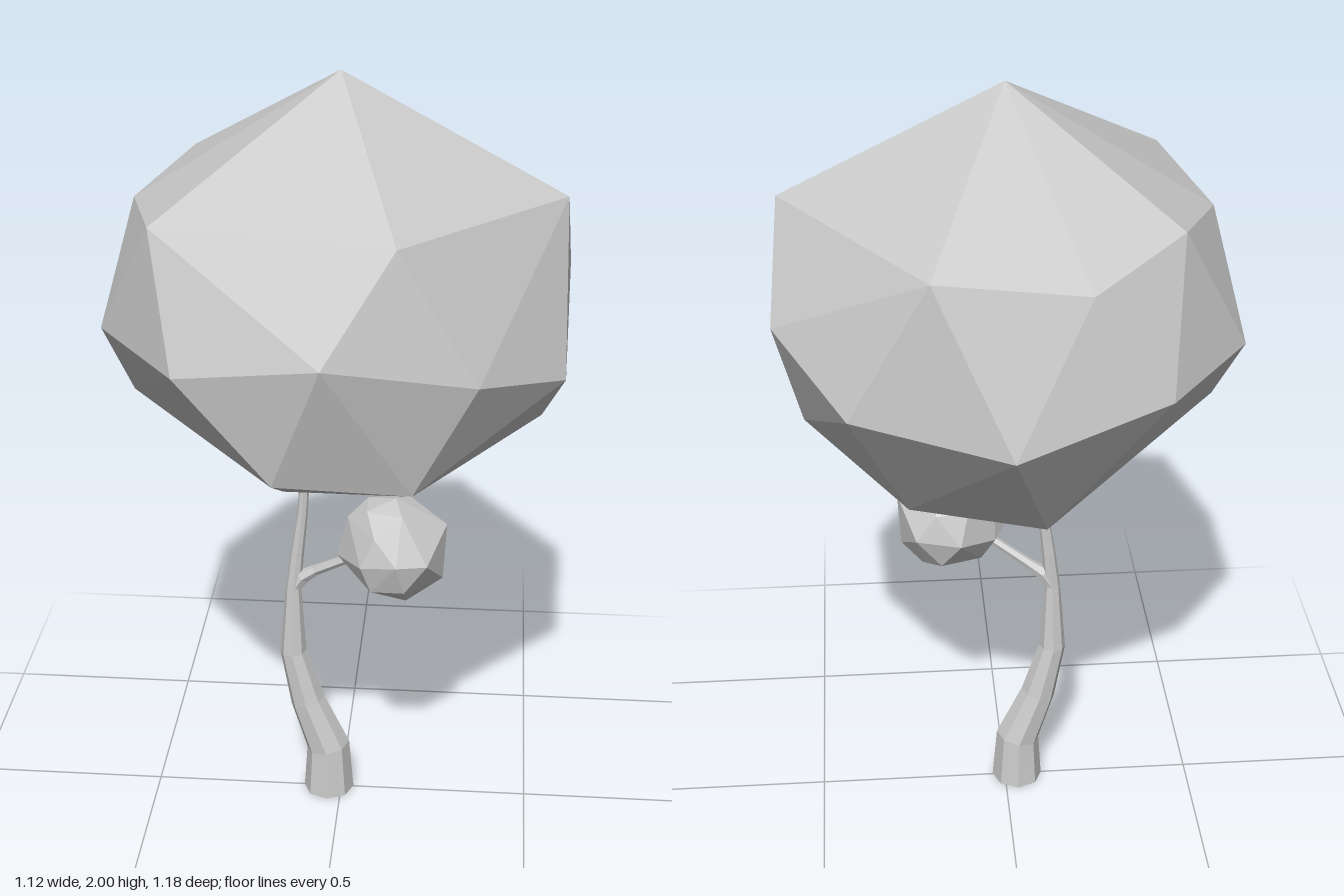
import * as THREE from 'three';
import { ConvexGeometry } from 'three/addons/geometries/ConvexGeometry.js';

const material = new THREE.MeshStandardMaterial({ color: 0xcccccc, flatShading: true });

// Corners of the faceted crown, from the tip down
const crownCorners = [
  [0, 2, 0],
  // shoulder
  [0.54, 1.72, 0.04], [0.2, 1.72, -0.5], [-0.39, 1.73, -0.28], [-0.41, 1.72, 0.34],
  [0.16, 1.735, 0.49], [-0.5, 1.68, 0], [-0.16, 1.67, -0.48],
  // widest ring
  [0.02, 1.32, -0.59], [0.39, 1.36, -0.44], [0.56, 1.48, -0.185], [0.547, 1.33, 0.22],
  [0.347, 1.41, 0.475], [0, 1.485, 0.587], [-0.347, 1.41, 0.475], [-0.56, 1.41, 0.18],
  [-0.56, 1.4, -0.185], [-0.347, 1.4, -0.475],
  // underside
  [-0.12, 1.16, 0.5], [0.2, 1.12, 0.44], [0.5, 1.14, 0], [-0.52, 1.175, 0],
  [0.25, 0.975, -0.18], [-0.08, 0.975, -0.3], [-0.15, 0.89, -0.02],
].map((p) => new THREE.Vector3(...p));

// Tapered limb through rings of [x, y, z, radius]
function limb(name, rings, sides) {
  const last = rings.length - 1;
  const centres = rings.map((r) => new THREE.Vector3(r[0], r[1], r[2]));
  const frames = centres.map((c, i) => {
    const along = centres[Math.min(i + 1, last)].clone().sub(centres[Math.max(i - 1, 0)]).normalize();
    const side = along.clone().cross(new THREE.Vector3(0, 0, 1)).normalize();
    return { side, front: side.clone().cross(along) };
  });
  const geometry = new THREE.CylinderGeometry(1, 1, 1, sides, last);
  const pos = geometry.attributes.position;
  for (let i = 0; i < pos.count; i++) {
    const k = Math.round((pos.getY(i) + 0.5) * last);
    const r = rings[k][3];
    const v = centres[k].clone()
      .addScaledVector(frames[k].side, pos.getX(i) * r)
      .addScaledVector(frames[k].front, pos.getZ(i) * r);
    pos.setXYZ(i, v.x, v.y, v.z);
  }
  geometry.computeVertexNormals();
  const mesh = new THREE.Mesh(geometry, material);
  mesh.name = name;
  return mesh;
}

export function createModel() {
  const tree = new THREE.Group();
  tree.name = 'tree';

  // Curved trunk, thinning towards the crown
  tree.add(limb('trunk', [
    [-0.033, 0.005, 0, 0.067], [-0.035, 0.14, 0, 0.058], [-0.09, 0.28, 0, 0.046],
    [-0.127, 0.43, 0, 0.035], [-0.125, 0.62, 0.002, 0.021], [-0.115, 0.72, 0, 0.018],
    [-0.1, 0.84, 0, 0.014], [-0.09, 0.98, 0, 0.012],
  ], 8));

  // Side branch holding the small crown
  tree.add(limb('branch', [
    [-0.13, 0.61, 0, 0.019], [-0.1, 0.658, 0.004, 0.02],
    [-0.065, 0.682, 0.012, 0.014], [0.06, 0.76, 0.055, 0.011],
  ], 6));

  const crown = new THREE.Mesh(new ConvexGeometry(crownCorners), material);
  crown.name = 'crown';
  tree.add(crown);

  // Small crown: the same shape about its own centre, tilted along the branch
  const smallGeometry = new ConvexGeometry(crownCorners);
  smallGeometry.translate(0, -1.43, 0);
  const smallCrown = new THREE.Mesh(smallGeometry, material);
  smallCrown.name = 'smallCrown';
  smallCrown.scale.set(0.238, 0.265, 0.228);
  smallCrown.rotation.z = -1.1;
  smallCrown.position.set(0.14, 0.797, 0.08);
  tree.add(smallCrown);

  return tree;
}
